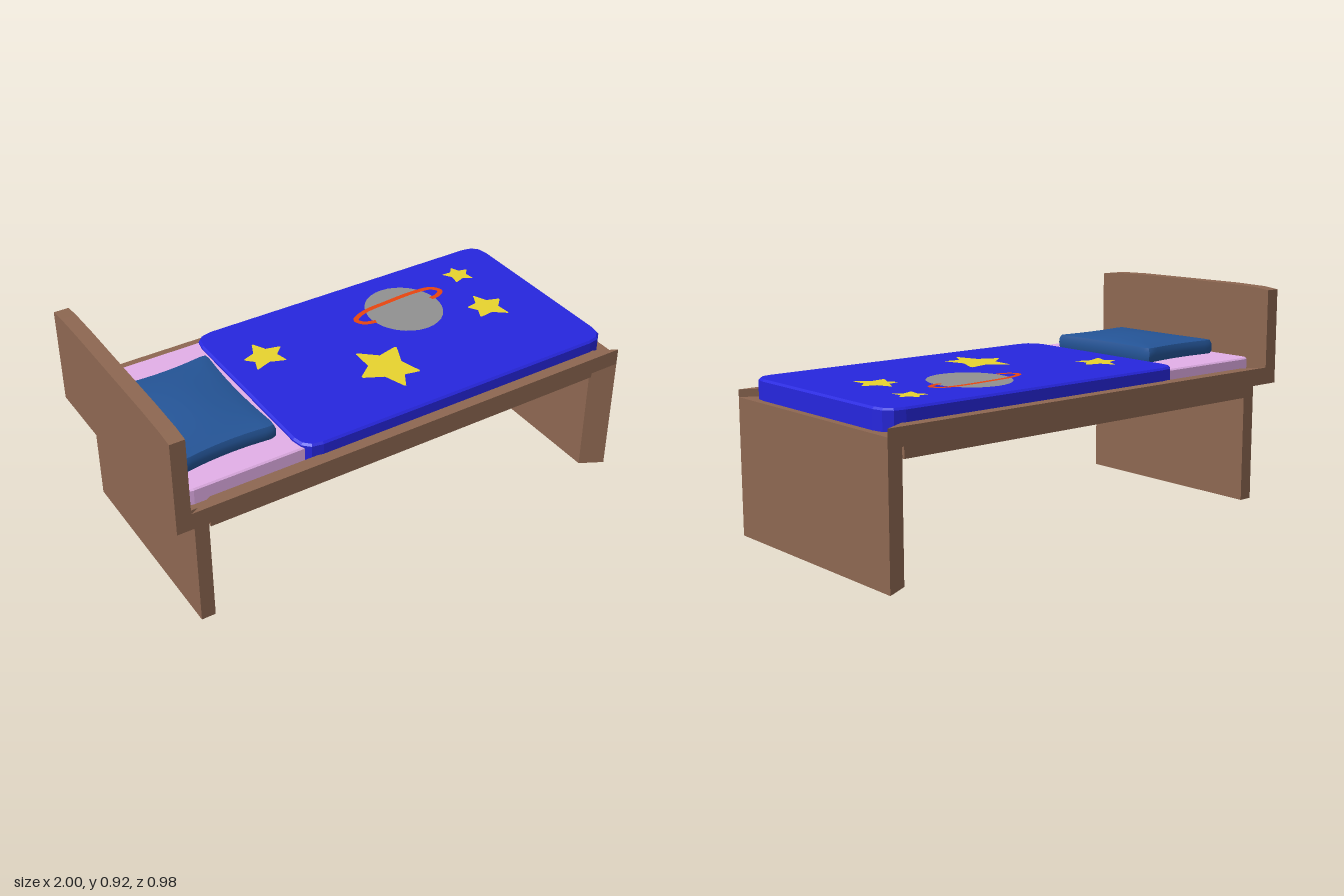
import * as THREE from 'three';

const mat = (name, color) => {
  const m = new THREE.MeshStandardMaterial({ color });
  m.name = name;
  return m;
};

export function createModel() {
  const bed = new THREE.Group();
  bed.name = 'bed';
  const wood = mat('brown wood', 0x8d6751);
  const blue = mat('blanket blue', 0x2626de);
  const pink = mat('sheet pink', 0xe4b0e9);
  const navy = mat('pillow blue', 0x245496);
  const grey = mat('planet grey', 0x919191);
  const yellow = mat('star yellow', 0xe9d52e);
  const red = mat('ring orange', 0xf54a12);

  const add = (name, geometry, material) => {
    const mesh = new THREE.Mesh(geometry, material);
    mesh.name = name;
    bed.add(mesh);
    return mesh;
  };
  // Shape from [x, z] points of a floor plan
  const plan = (points) => new THREE.Shape(points.map(([x, z]) => new THREE.Vector2(x, -z)));
  // Upright prism over a floor plan
  const prism = (name, material, points, y0, y1) => {
    const g = new THREE.ExtrudeGeometry(plan(points), { depth: y1 - y0, bevelEnabled: false });
    g.rotateX(-Math.PI / 2);
    g.translate(0, y0, 0);
    return add(name, g, material);
  };
  // Box given by its limits on each axis
  const box = (name, material, x0, x1, y0, y1, z0, z1) => {
    const g = new THREE.BoxGeometry(x1 - x0, y1 - y0, z1 - z0);
    g.translate((x0 + x1) / 2, (y0 + y1) / 2, (z0 + z1) / 2);
    return add(name, g, material);
  };
  // Rounded slab lying flat, with a small bevel round the top and bottom
  const slab = (name, material, x0, x1, y0, y1, halfZ, r, bevel) => {
    const a = x0 + bevel, b = x1 - bevel, h = halfZ - bevel;
    const s = new THREE.Shape();
    s.moveTo(a + r, -h);
    s.lineTo(b - r, -h);
    s.quadraticCurveTo(b, -h, b, -h + r);
    s.lineTo(b, h - r);
    s.quadraticCurveTo(b, h, b - r, h);
    s.lineTo(a + r, h);
    s.quadraticCurveTo(a, h, a, h - r);
    s.lineTo(a, -h + r);
    s.quadraticCurveTo(a, -h, a + r, -h);
    const g = new THREE.ExtrudeGeometry(s, {
      depth: y1 - y0 - 2 * bevel, bevelThickness: bevel, bevelSize: bevel,
      bevelSegments: 1, curveSegments: 3,
    });
    g.rotateX(-Math.PI / 2);
    g.translate(0, y0 + bevel, 0);
    return add(name, g, material);
  };

  // Frame: mitred side rails, slatted base and solid inset under-frame
  for (const s of [-1, 1]) {
    prism('sideRail', wood, [
      [-0.94, s * 0.49], [1, s * 0.49], [0.905, s * 0.438], [-0.84, s * 0.438],
    ], 0.51, 0.58);
  }
  box('base', wood, -0.94, 0.905, 0.51, 0.55, -0.439, 0.439);
  box('underFrame', wood, -0.85, 0.905, 0.456, 0.51, -0.452, 0.452);

  // End panels that carry the frame; the foot panel narrows inward
  const foot = [[1, -0.49], [1, 0.49], [0.905, 0.44], [0.905, -0.44]];
  prism('footPanel', wood, foot, 0, 0.55);
  box('headLeg', wood, -0.908, -0.85, 0.015, 0.51, -0.452, 0.437);

  // Headboard with a gently arched top
  const board = new THREE.Shape([
    [-0.49, 0.51], [0.49, 0.51], [0.49, 0.905], [0.42, 0.913], [0.27, 0.917],
    [-0.27, 0.917], [-0.42, 0.913], [-0.49, 0.905],
  ].map(([z, y]) => new THREE.Vector2(z, y)));
  const boardGeo = new THREE.ExtrudeGeometry(board, { depth: 0.06, bevelEnabled: false });
  boardGeo.rotateY(Math.PI / 2);
  boardGeo.translate(-1, 0, 0);
  add('headboard', boardGeo, wood);

  // Bedding
  slab('mattress', pink, -0.925, 0.89, 0.54, 0.617, 0.415, 0.03, 0.006);
  slab('blanket', blue, -0.455, 0.97, 0.542, 0.632, 0.443, 0.075, 0.008);

  // Pillow: a box with pinched sides, blunt corners and a domed top
  const pillow = new THREE.BoxGeometry(2, 1, 2, 16, 4, 16);
  const p = pillow.attributes.position;
  for (let i = 0; i < p.count; i++) {
    const u = p.getX(i), v = p.getY(i) + 0.5, w = p.getZ(i);
    const rim = 1 - 0.03 * Math.pow(Math.abs(2 * v - 1), 3) - 0.03 * Math.pow(u * w, 16);
    const px = u * (0.188 + 0.016 * w * w) * rim;
    const pz = w * (0.266 + 0.018 * u * u) * rim;
    const dome = Math.pow((1 - u * u) * (1 - w * w), 1.5);
    const edge = Math.pow(Math.max(Math.abs(u), Math.abs(w)), 10);
    p.setXYZ(i, px - 0.692, 0.612 + v * (0.069 + 0.014 * dome - 0.006 * edge), pz + 0.038 - 0.03 * px);
  }
  pillow.computeVertexNormals();
  add('pillow', pillow, navy);

  // Flat pictures on the blanket, outlined by [x, z] points
  const decal = (name, points, y, material) => {
    const g = new THREE.ShapeGeometry(plan(points));
    g.rotateX(-Math.PI / 2);
    g.translate(0, y, 0);
    return add(name, g, material);
  };

  // Stars: five blunt tips each, with the notches pulled toward the middle
  const stars = [
    [[-0.28, -0.265], [-0.187, -0.19], [-0.215, -0.09], [-0.35, -0.09], [-0.365, -0.18]],
    [[0.035, 0.01], [0.205, 0.055], [0.19, 0.255], [0.08, 0.312], [-0.038, 0.17]],
    [[0.75, -0.332], [0.803, -0.285], [0.783, -0.21], [0.7, -0.218], [0.682, -0.305]],
    [[0.695, -0.095], [0.778, -0.015], [0.742, 0.1], [0.62, 0.062], [0.618, -0.03]],
  ];
  const mix = (a, b, t) => [a[0] + (b[0] - a[0]) * t, a[1] + (b[1] - a[1]) * t];
  for (const tips of stars) {
    const mid = [0, 1].map((k) => tips.reduce((sum, t) => sum + t[k], 0) / 5);
    const notches = tips.map((t, i) => mix(mid, mix(t, tips[(i + 1) % 5], 0.5), 0.65));
    const outline = tips.flatMap((t, i) => [
      mix(t, notches[(i + 4) % 5], 0.1), mix(t, notches[i], 0.1), notches[i],
    ]);
    decal('star', outline, 0.634, yellow);
  }

  // Planet disc
  const disc = [];
  for (let i = 0; i < 32; i++) {
    const a = (i / 32) * Math.PI * 2;
    disc.push([0.388 + 0.16 * Math.cos(a), -0.162 + 0.174 * Math.sin(a)]);
  }
  decal('planet', disc, 0.634, grey);

  // Open ring band, widened along its path
  const path = new THREE.CatmullRomCurve3([
    [0.235, -0.138], [0.185, -0.155], [0.17, -0.19], [0.23, -0.225], [0.36, -0.24],
    [0.5, -0.247], [0.575, -0.235], [0.598, -0.2], [0.57, -0.175], [0.53, -0.168],
  ].map(([x, z]) => new THREE.Vector3(x, 0, z)));
  const inner = [], outer = [];
  for (let i = 0; i <= 40; i++) {
    const c = path.getPoint(i / 40), t = path.getTangent(i / 40);
    inner.push([c.x - t.z * 0.011, c.z + t.x * 0.011]);
    outer.unshift([c.x + t.z * 0.011, c.z - t.x * 0.011]);
  }
  decal('planetRing', [...inner, ...outer], 0.636, red);

  return bed;
}
